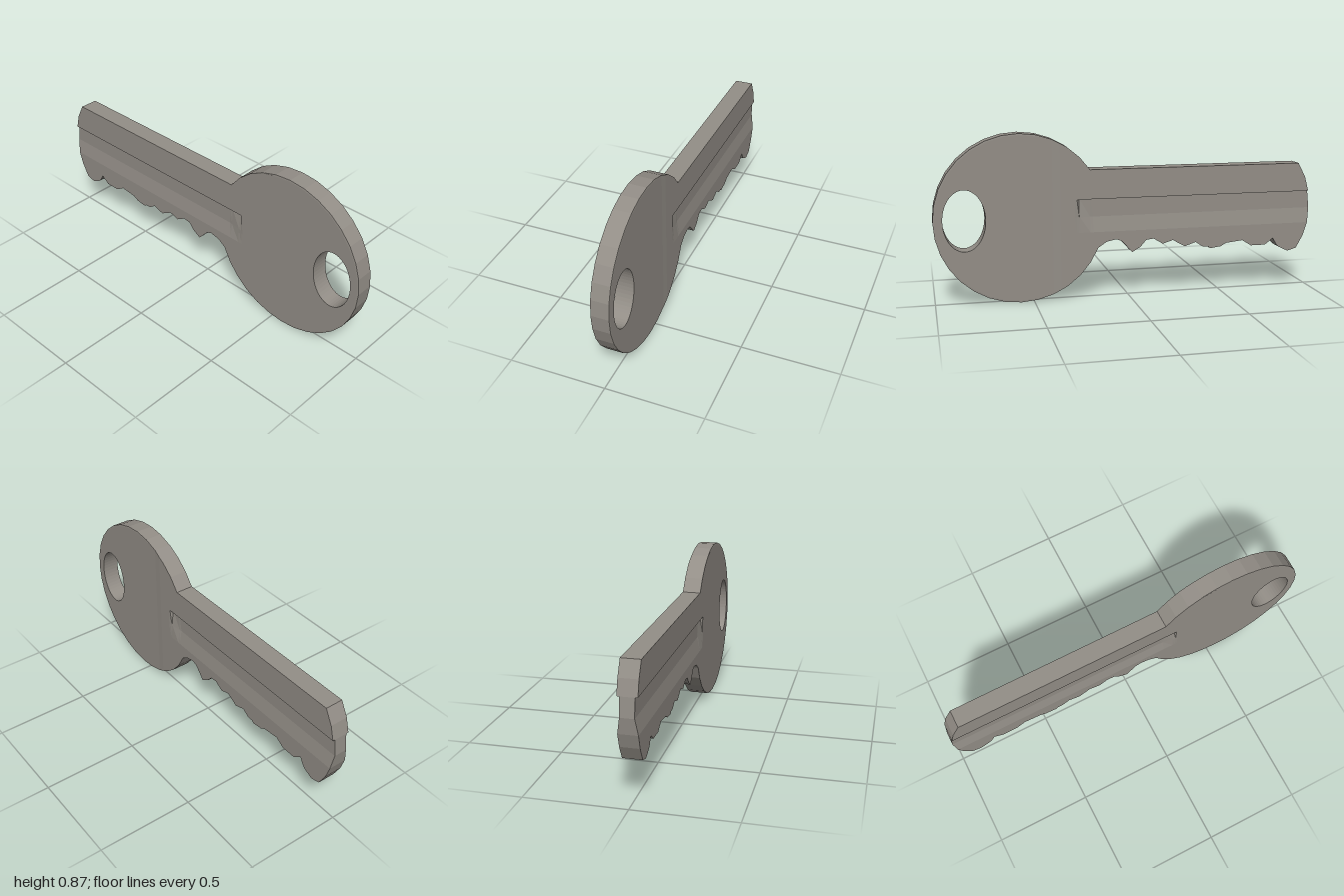
import * as THREE from 'three';

const CX = 0.566, CY = 0.434, R = 0.434;       // round bow
const HALF = 0.0475, BOW_BACK = 0.0455;        // half thickness; bow is thinner at the back
const GROOVE = 0.013;

const rim = k => {
  const a = k * Math.PI / 16;
  return [CX + R * Math.cos(a), CY + R * Math.sin(a)];
};

// Linear interpolation along a list of [x, y] points
function yAt(points, x) {
  for (let i = 1; i < points.length; i++) {
    const [x0, y0] = points[i - 1], [x1, y1] = points[i];
    if (x <= x1) return y0 + (y1 - y0) * Math.max(0, (x - x0) / (x1 - x0));
  }
  return points[points.length - 1][1];
}

// Upper and lower (toothed) outlines, running into the bow
const topEdge = [[-1, 0.675], rim(13), rim(12), rim(11), rim(10)];
const teeth = [
  [-0.93, 0.211], [-0.88, 0.197], [-0.83, 0.221], [-0.815, 0.236], [-0.795, 0.271],
  [-0.75, 0.237], [-0.67, 0.237], [-0.62, 0.268], [-0.53, 0.258], [-0.5, 0.241],
  [-0.44, 0.233], [-0.43, 0.244], [-0.4, 0.244], [-0.36, 0.271], [-0.3, 0.251],
  [-0.235, 0.288], [-0.18, 0.271], [-0.13, 0.301], [-0.09, 0.296], [-0.06, 0.261],
  [-0.015, 0.234], [0.04, 0.296], [0.07, 0.307], [0.12, 0.297], [0.165, 0.267],
  rim(-13), rim(-12), rim(-11), rim(-10)];

// Blade: grooved cross-sections joined along x
function bladeGeometry() {
  const tipX = [-0.93, -0.97, -0.99, -0.99, -1, -0.99, -0.968, -0.93];
  const xs = [...teeth.map(p => p[0]), 0.19, 0.263, 0.275, 0.285, 0.36].sort((a, b) => a - b);
  const rings = xs.map((x, i) => {
    const top = yAt(topEdge, x), bottom = yAt(teeth, x);
    const backHalf = x > 0.37 ? BOW_BACK : HALF;
    // Groove floor: abrupt end at the step, long run-out below it
    const cuts = {
      3: GROOVE * THREE.MathUtils.clamp((0.275 - x) / 0.012, 0, 1),
      4: GROOVE * THREE.MathUtils.clamp((0.285 - x) / 0.095, 0, 1)
    };
    const ys = [top, (top + 0.523) / 2, 0.523, 0.523, 0.43, 0.35, (0.35 + bottom) / 2, bottom];
    const side = half => ys.map((y, j) => [i === 0 ? tipX[j] : x, y, half - (cuts[j] ?? 0)]);
    const back = side(backHalf).map(([px, y, z]) => [px, y, -z]).reverse();
    return [...side(HALF), ...back];
  });
  const pos = [];
  const quad = (a, b, c, d) => pos.push(...a, ...b, ...c, ...a, ...c, ...d);
  for (let i = 0; i < rings.length - 1; i++)
    for (let j = 0; j < 16; j++) {
      const n = (j + 1) % 16;
      quad(rings[i][j], rings[i][n], rings[i + 1][n], rings[i + 1][j]);
    }
  // Curved end face of the tip
  const t = rings[0];
  for (let j = 0; j < 7; j++) quad(t[j], t[15 - j], t[14 - j], t[j + 1]);
  const g = new THREE.BufferGeometry();
  g.setAttribute('position', new THREE.Float32BufferAttribute(pos, 3));
  g.computeVertexNormals();
  return g;
}

// Bow: faceted disc with an oval hole and a very fine chamfer round the rim
function bowGeometry() {
  const pts = [];
  for (let k = -10; k <= 10; k++) pts.push(new THREE.Vector2(...rim(k)));
  const shape = new THREE.Shape(pts);
  shape.holes.push(new THREE.Path().absellipse(0.845, 0.436, 0.107, 0.157, 0, Math.PI * 2, true));
  const g = new THREE.ExtrudeGeometry(shape, { depth: 3, steps: 3, curveSegments: 24, bevelEnabled: false });
  const layers = [-BOW_BACK, -BOW_BACK + 0.001, HALF - 0.001, HALF];
  const p = g.attributes.position;
  for (let i = 0; i < p.count; i++) {
    const x = p.getX(i), y = p.getY(i), layer = Math.round(p.getZ(i));
    const onRim = Math.hypot(x - CX, y - CY) > R - 0.002 && x > 0.41;
    const s = onRim && (layer === 0 || layer === 3) ? 0.981 : 1;
    p.setXYZ(i, CX + (x - CX) * s, CY + (y - CY) * s, layers[layer]);
  }
  g.computeVertexNormals();
  return g;
}

export function createModel() {
  const group = new THREE.Group();
  group.name = 'key';
  const material = new THREE.MeshStandardMaterial({ color: 0x938e87, flatShading: true });
  for (const [name, geometry] of [['blade', bladeGeometry()], ['bow', bowGeometry()]]) {
    const mesh = new THREE.Mesh(geometry, material);
    mesh.name = name;
    group.add(mesh);
  }
  return group;
}
